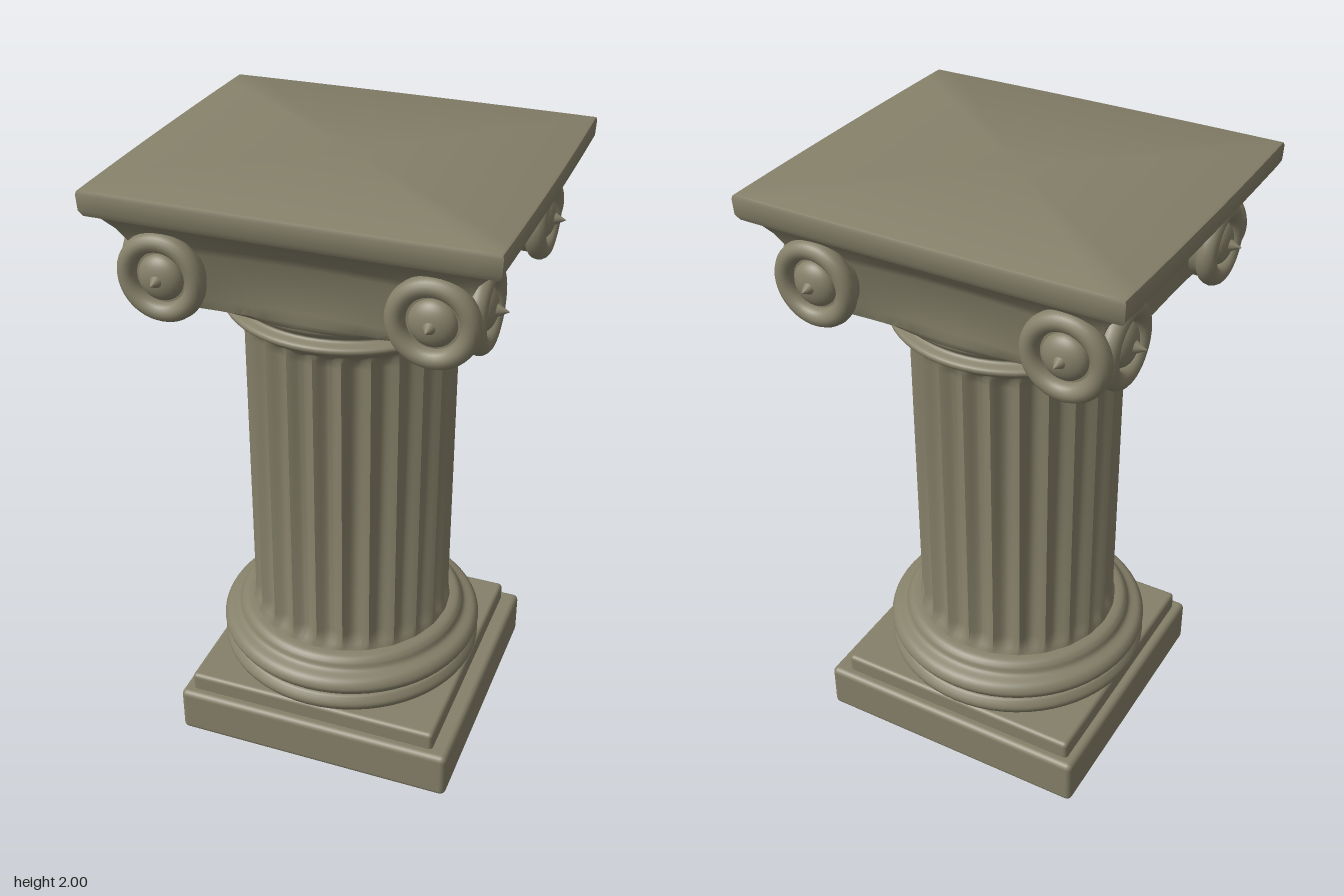
import * as THREE from 'three';
import { toCreasedNormals } from 'three/addons/utils/BufferGeometryUtils.js';
import { RoundedBoxGeometry } from 'three/addons/geometries/RoundedBoxGeometry.js';

// Skin a stack of closed rings; point(ring, angle) returns [x, y, z]
function loft(rings, n, point, crease) {
  const pos = [], idx = [];
  for (const r of rings) for (let i = 0; i < n; i++) pos.push(...point(r, (i / n) * Math.PI * 2));
  for (let j = 0; j < rings.length - 1; j++) {
    for (let i = 0; i < n; i++) {
      const a = j * n + i, b = j * n + ((i + 1) % n);
      idx.push(a, b, b + n, a, b + n, a + n);
    }
  }
  const last = (rings.length - 1) * n, c = rings.length * n;
  pos.push(0, pos[1], 0, 0, pos[last * 3 + 1], 0);
  for (let i = 0; i < n; i++) {
    const k = (i + 1) % n;
    idx.push(c, k, i, c + 1, last + i, last + k);
  }
  const g = new THREE.BufferGeometry();
  g.setAttribute('position', new THREE.Float32BufferAttribute(pos, 3));
  g.setIndex(idx);
  return toCreasedNormals(g, crease);
}

// Four-sided section with hollowed faces; round = 1 gives an ellipse
function blockPoint({ y, hx, hz, sink = 0, round = 0 }, a) {
  const c = Math.cos(a), s = Math.sin(a), m = Math.max(Math.abs(c), Math.abs(s));
  const u = c / m, v = s / m;
  const x = u * (hx - sink * (1 - v * v)), z = v * (hz - sink * (1 - u * u));
  return [x + (c * hx - x) * round, y, -(z + (s * hz - z) * round)];
}

// Smooth turned moulding
function turned(points) {
  const curve = new THREE.SplineCurve(points.map(([r, y]) => new THREE.Vector2(r, y)));
  return new THREE.LatheGeometry(curve.getPoints(points.length * 5), 64);
}

export function createModel() {
  const model = new THREE.Group();
  model.name = 'column';
  const stone = new THREE.MeshStandardMaterial({ color: 0x858069 });
  stone.name = 'stone';
  const add = (name, geometry, parent = model) => {
    const mesh = new THREE.Mesh(geometry, stone);
    mesh.name = name;
    parent.add(mesh);
    return mesh;
  };

  // Square plinth and its step
  add('plinth', new RoundedBoxGeometry(0.95, 0.165, 0.925, 3, 0.02)).position.set(0.02, 0.0825, 0);
  add('plinthStep', new RoundedBoxGeometry(0.86, 0.12, 0.86, 3, 0.015)).position.set(0.008, 0.165, 0);

  // Rounded rings under the shaft
  add('baseRings', turned([
    [0.38, 0.2], [0.425, 0.22], [0.444, 0.25], [0.43, 0.278], [0.418, 0.285], [0.432, 0.295],
    [0.445, 0.32], [0.43, 0.347], [0.395, 0.362], [0.382, 0.385], [0.36, 0.4], [0.3, 0.405],
  ]));

  // Fluted shaft, with the grooves fading out at both ends
  const shaftRings = [
    [0.37, 0.345, 0], [0.4, 0.342, 0], [0.42, 0.337, 0.5], [0.46, 0.335, 1], [0.95, 0.335, 1],
    [1.45, 0.335, 1], [1.48, 0.335, 0.7], [1.5, 0.338, 0.1], [1.54, 0.35, 0],
  ];
  add('flutedShaft', loft(shaftRings, 24 * 10, ([y, r, depth], a) => {
    const groove = Math.pow(Math.abs(Math.sin(a * 12)), 1.2);
    const d = r - 0.024 * depth * groove;
    return [Math.cos(a) * d, y, -Math.sin(a) * d];
  }, 0.9));

  // Collar between the shaft and capital
  add('collar', turned([
    [0.325, 1.485], [0.345, 1.505], [0.375, 1.525], [0.394, 1.54], [0.392, 1.555],
    [0.368, 1.565], [0.365, 1.575], [0.385, 1.59], [0.39, 1.61], [0.36, 1.63],
  ]));

  // Capital block with hollowed faces, flaring to the top slab
  add('capitalBlock', loft([
    { y: 1.585, hx: 0.37, hz: 0.37, round: 1 },
    { y: 1.605, hx: 0.42, hz: 0.4, sink: 0.02, round: 0.6 },
    { y: 1.625, hx: 0.47, hz: 0.43, sink: 0.04, round: 0.15 },
    { y: 1.66, hx: 0.485, hz: 0.44, sink: 0.045 },
    { y: 1.8, hx: 0.495, hz: 0.445, sink: 0.045 },
    { y: 1.83, hx: 0.505, hz: 0.455, sink: 0.035 },
    { y: 1.87, hx: 0.525, hz: 0.475, sink: 0.02 },
    { y: 1.905, hx: 0.555, hz: 0.5, sink: 0.005 },
    { y: 1.93, hx: 0.59, hz: 0.53 },
  ], 96, blockPoint, 0.7));

  // Top slab
  add('topSlab', loft([
    { y: 1.915, hx: 0.57, hz: 0.51 },
    { y: 1.922, hx: 0.592, hz: 0.532, sink: -0.004 },
    { y: 1.94, hx: 0.602, hz: 0.541, sink: -0.005 },
    { y: 1.988, hx: 0.604, hz: 0.543, sink: -0.006 },
    { y: 1.997, hx: 0.601, hz: 0.54, sink: -0.006 },
    { y: 2, hx: 0.594, hz: 0.533, sink: -0.006 },
  ], 96, blockPoint, 0.6));

  // Scroll: drum, raised rim, domed eye and pointed boss, facing +z
  const scroll = (name, radius, eye) => {
    const g = new THREE.Group();
    g.name = name;
    const drum = add('scrollDrum', new THREE.CylinderGeometry(radius - 0.02, radius - 0.02, 0.1, 40), g);
    drum.rotation.x = Math.PI / 2;
    drum.position.z = -0.05;
    add('scrollRim', new THREE.TorusGeometry(radius - 0.03, 0.03, 16, 48), g).scale.z = 1.1;
    const dome = add('scrollEye', new THREE.SphereGeometry(eye, 28, 18), g);
    dome.scale.z = 0.55;
    const boss = add('scrollBoss', new THREE.ConeGeometry(0.027, 0.05, 20), g);
    boss.rotation.x = Math.PI / 2;
    boss.position.z = 0.045;
    model.add(g);
    return g;
  };

  // A pair of scrolls on each of the four faces
  for (const side of [-1, 1]) {
    for (const end of [-1, 1]) {
      const onFace = scroll(end > 0 ? 'frontScroll' : 'backScroll', 0.137, 0.07);
      onFace.position.set(side * 0.402, 1.737, end * 0.462);
      if (end < 0) onFace.rotation.y = Math.PI;

      const onFlank = scroll(side > 0 ? 'leftScroll' : 'rightScroll', 0.131, 0.066);
      onFlank.position.set(side * 0.508, 1.737, end * 0.33);
      onFlank.rotation.y = side * Math.PI / 2;
    }
  }
  return model;
}
